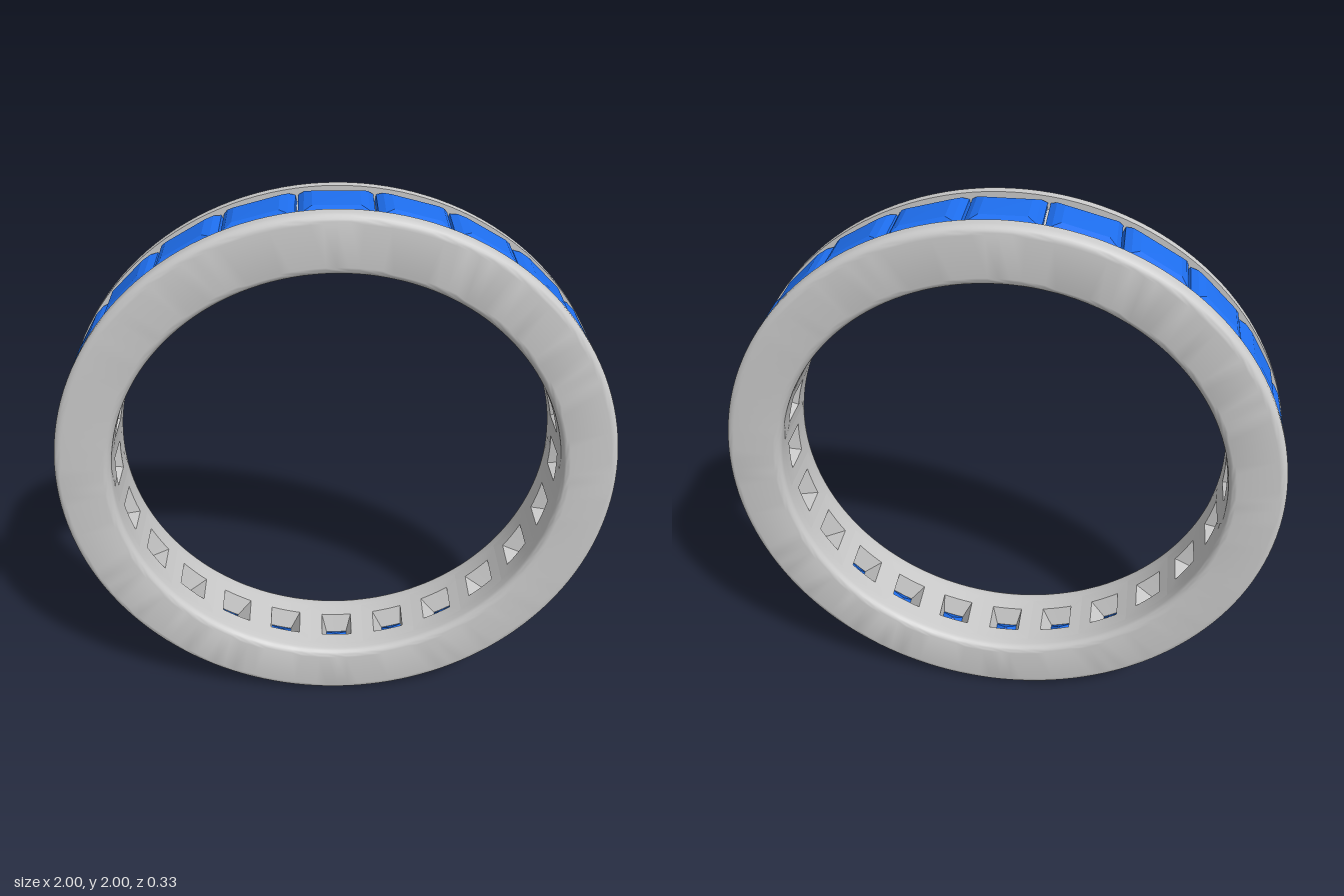
import * as THREE from 'three';
import { toCreasedNormals } from 'three/addons/utils/BufferGeometryUtils.js';

const COUNT = 24;                  // stones around the ring
const STEP = (Math.PI * 2) / COUNT;
const INNER = 0.8, OUTER = 1.0;    // ring radii
const CHANNEL = 0.11, EDGE = 0.166; // half widths of channel and whole ring

// Skin a stack of square outlines; place(level, u, v) maps the unit square to a point.
function squareLoft(levels, perSide, place) {
  const corners = [[1, -1], [1, 1], [-1, 1], [-1, -1]];
  const n = perSide * 4;
  const pos = [], index = [];
  for (const level of levels) {
    for (let i = 0; i < n; i++) {
      const c = Math.floor(i / perSide), t = (i % perSide) / perSide;
      const a = corners[c], b = corners[(c + 1) % 4];
      pos.push(...place(level, a[0] + (b[0] - a[0]) * t, a[1] + (b[1] - a[1]) * t));
    }
  }
  for (let l = 0; l < levels.length - 1; l++) {
    for (let i = 0; i < n; i++) {
      const j = (i + 1) % n;
      const a = l * n + i, b = l * n + j, c = a + n, d = b + n;
      index.push(a, c, d, a, d, b);
    }
  }
  const geo = new THREE.BufferGeometry();
  geo.setAttribute('position', new THREE.Float32BufferAttribute(pos, 3));
  geo.setIndex(index);
  geo.computeVertexNormals();
  return geo;
}

// Side rail: flat cheek with rounded outer corners, turned around the ring axis
function railGeometry() {
  const f = 0.028, pts = [new THREE.Vector2(INNER, CHANNEL), new THREE.Vector2(OUTER, CHANNEL)];
  const arc = (cx, cy, from) => {
    for (let i = 0; i <= 6; i++) {
      const a = from + (i / 6) * Math.PI / 2;
      pts.push(new THREE.Vector2(cx + f * Math.cos(a), cy + f * Math.sin(a)));
    }
  };
  arc(OUTER - f, EDGE - f, 0);
  arc(INNER + f, EDGE - f, Math.PI / 2);
  pts.push(pts[0].clone());
  const geo = new THREE.LatheGeometry(pts, 144);
  geo.rotateX(Math.PI / 2);
  return toCreasedNormals(geo, 0.6);
}

// One cell of the channel floor: seat above, tapered window through to the finger side
function seatGeometry() {
  const levels = [ // [half angle, half depth, radius], from outside to inside
    [STEP / 2, CHANNEL, 0.955],
    [0.126, 0.108, 0.955],
    [0.046, 0.04, 0.875],
    [0.074, 0.06, INNER],
    [STEP / 2, CHANNEL, INNER],
  ];
  const geo = squareLoft(levels, 6, ([a, d, r], u, v) =>
    [r * Math.sin(a * u), r * Math.cos(a * u), d * v]);
  return toCreasedNormals(geo, 0.4);
}

// Square-cut stone: pointed pavilion, thin girdle, two crown steps and a table
function stoneGeometry() {
  const levels = [ // [half width, half depth, radius]
    [0, 0, 0.85],
    [0.07, 0.062, 0.892],
    [0.121, 0.108, 0.945],
    [0.123, 0.109, 0.97],
    [0.104, 0.092, 0.987],
    [0.078, 0.068, 0.997],
    [0, 0, 0.998],
  ];
  return squareLoft(levels, 1, ([w, d, r], u, v) => [w * u, r, d * v]);
}

export function createModel() {
  const metal = new THREE.MeshStandardMaterial({ color: 0xcccccc });
  const gem = new THREE.MeshStandardMaterial({ color: 0x1e6ff0, flatShading: true });
  const ring = new THREE.Group();
  ring.name = 'ring';
  ring.position.y = OUTER;

  // Front and back rails
  const rail = railGeometry();
  for (const [name, turn] of [['frontRail', 0], ['backRail', Math.PI]]) {
    const mesh = new THREE.Mesh(rail, metal);
    mesh.name = name;
    mesh.rotation.y = turn;
    ring.add(mesh);
  }

  // Stones and their seats all the way round
  const seat = seatGeometry(), stone = stoneGeometry();
  const seats = new THREE.Group(), stones = new THREE.Group();
  seats.name = 'seats';
  stones.name = 'stones';
  for (let i = 0; i < COUNT; i++) {
    const s = new THREE.Mesh(seat, metal);
    s.name = 'seat';
    const g = new THREE.Mesh(stone, gem);
    g.name = 'stone';
    s.rotation.z = g.rotation.z = i * STEP;
    seats.add(s);
    stones.add(g);
  }
  ring.add(seats, stones);

  const model = new THREE.Group();
  model.name = 'eternityRing';
  model.add(ring);
  return model;
}
